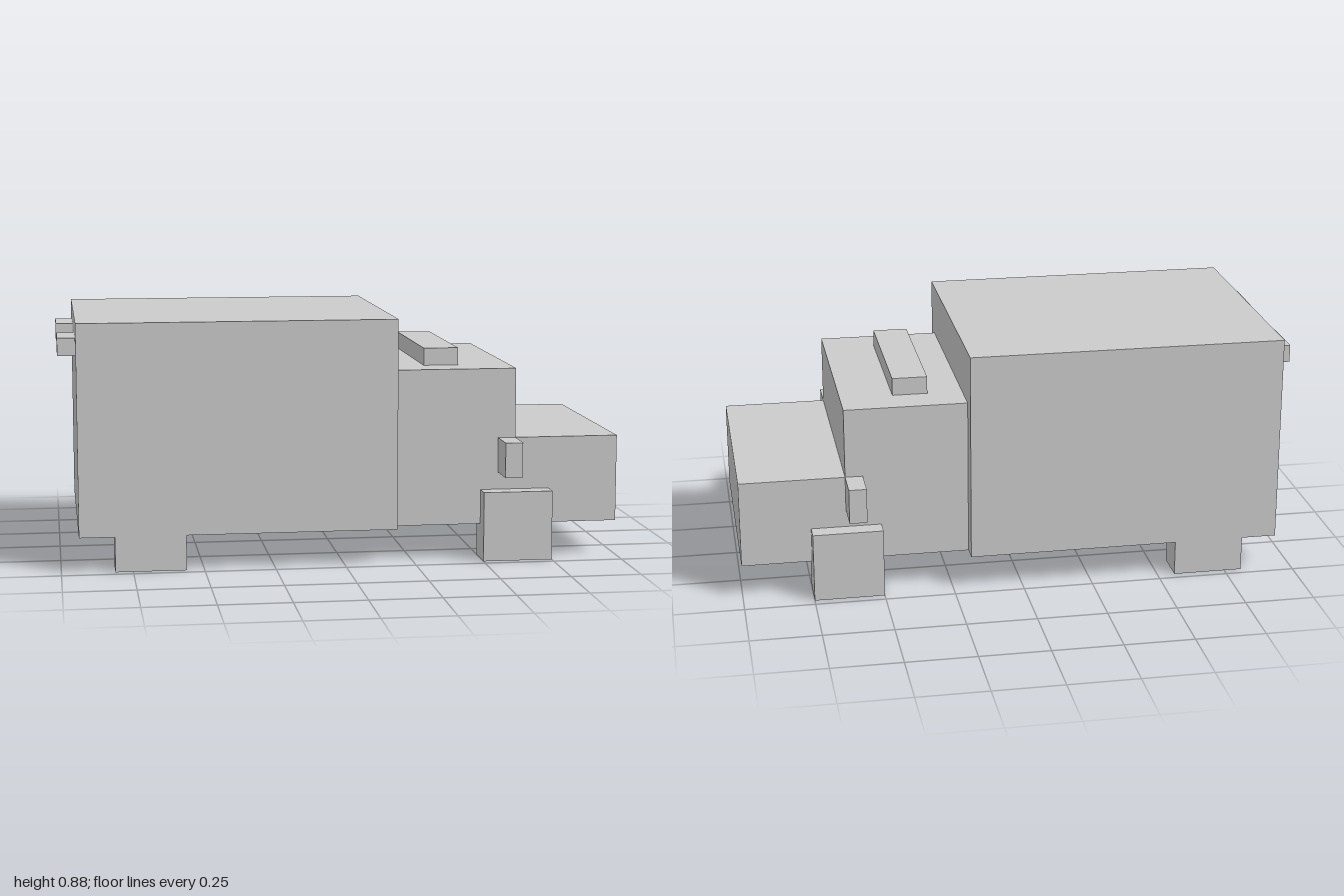
import * as THREE from 'three';

export function createModel() {
  const group = new THREE.Group();
  const material = new THREE.MeshStandardMaterial({ color: 0xcccccc, flatShading: true });

  // Box given by its extents along each axis
  function block(name, [x0, x1], [y0, y1], [z0, z1]) {
    const mesh = new THREE.Mesh(new THREE.BoxGeometry(x1 - x0, y1 - y0, z1 - z0), material);
    mesh.position.set((x0 + x1) / 2, (y0 + y1) / 2, (z0 + z1) / 2);
    mesh.name = name;
    group.add(mesh);
  }

  // The same box on both sides of the vehicle
  function pair(name, x, y, [near, far]) {
    block(name + 'PositiveZ', x, y, [near, far]);
    block(name + 'NegativeZ', x, y, [-far, -near]);
  }

  // Cargo box, cab and hood, nose pointing to +x
  block('cargoBox', [-0.9375, 0.1875], [0.125, 0.875], [-0.469, 0.469]);
  block('cab', [0.1875, 0.625], [0.125, 0.6875], [-0.406, 0.406]);
  block('hood', [0.625, 1], [0.125, 0.4375], [-0.406, 0.406]);

  // Light bar on the cab roof
  block('roofLightBar', [0.3125, 0.4375], [0.6875, 0.75], [-0.281, 0.281]);

  // Wheels; the rear ones run up into the cargo box
  pair('frontWheel', [0.5, 0.75], [0, 0.25], [0.344, 0.469]);
  pair('rearWheel', [-0.8125, -0.5625], [0, 0.125], [0.344, 0.469]);

  // Side mirrors and rear lights
  pair('sideMirror', [0.5625, 0.625], [0.3125, 0.4375], [0.406, 0.531]);
  pair('rearLight', [-1, -0.9375], [0.75, 0.8125], [0.156, 0.344]);

  return group;
}
